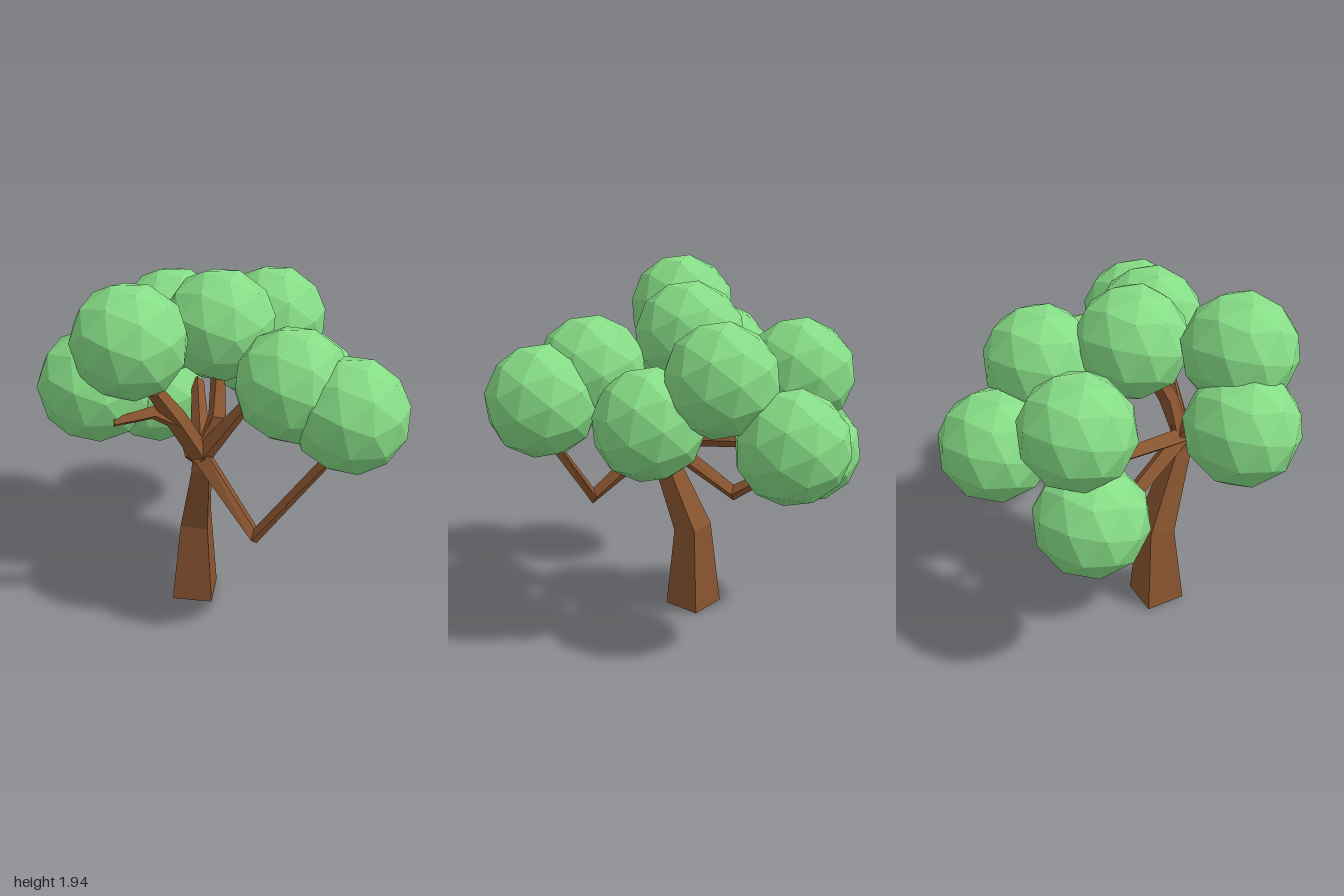
import * as THREE from 'three';

const V = (x, y, z) => new THREE.Vector3(x, y, z);
const bark = new THREE.MeshStandardMaterial({ color: 0x8a5530, flatShading: true });
const leaf = new THREE.MeshStandardMaterial({ color: 0x86dc86, flatShading: true });

// Four-sided limb: each station is [x, y, z, corner radius]
function limb(stations, ref) {
  const pts = stations.map(s => V(s[0], s[1], s[2]));
  const rings = stations.map((s, i) => {
    const t = V(0, 0, 0);
    if (i > 0) t.add(pts[i].clone().sub(pts[i - 1]).normalize());
    if (i < pts.length - 1) t.add(pts[i + 1].clone().sub(pts[i]).normalize());
    t.normalize();
    const u = ref.clone().addScaledVector(t, -ref.dot(t)).normalize();
    const v = t.clone().cross(u);
    return [[u, 1], [v, 1], [u, -1], [v, -1]]
      .map(([d, sign]) => pts[i].clone().addScaledVector(d, sign * s[3]));
  });
  const out = [];
  const quad = (a, b, c, d) => [a, b, c, a, c, d].forEach(p => out.push(p.x, p.y, p.z));
  for (let i = 0; i < rings.length - 1; i++) {
    for (let k = 0; k < 4; k++) {
      const n = (k + 1) % 4;
      quad(rings[i][k], rings[i][n], rings[i + 1][n], rings[i + 1][k]);
    }
  }
  const first = rings[0], last = rings[rings.length - 1];
  quad(first[3], first[2], first[1], first[0]);
  quad(last[0], last[1], last[2], last[3]);
  const geo = new THREE.BufferGeometry();
  geo.setAttribute('position', new THREE.Float32BufferAttribute(out, 3));
  geo.computeVertexNormals();
  return geo;
}

export function createModel() {
  const tree = new THREE.Group();
  tree.name = 'tree';
  const add = (name, geo, mat) => {
    const mesh = new THREE.Mesh(geo, mat);
    mesh.name = name;
    tree.add(mesh);
    return mesh;
  };

  // Leaning trunk, twisted slightly from the axes
  add('trunk', limb([
    [-0.16, 0.005, 0.19, 0.155],
    [-0.15, 0.48, 0.18, 0.105],
    [0.0, 0.92, 0.29, 0.065],
    [0.01, 1.03, 0.31, 0.05],
  ], V(1, 0, 0.2)), bark);

  // Branches fanning out from the fork
  const fork = [0.01, 0.99, 0.3, 0.055];
  const branches = {
    rightLowBranch: [fork, [-0.33, 0.73, 0, 0.045], [-0.5, 0.85, -0.09, 0.03]],
    rightBranch: [fork, [-0.47, 1.08, -0.2, 0.035]],
    leftLowBranch: [fork, [0.39, 0.67, 0.32, 0.045], [0.68, 1.13, 0.15, 0.03]],
    leftBranch: [fork, [0.24, 1.34, 0.19, 0.03]],
    frontBranch: [fork, [-0.03, 1.25, 0.44, 0.055], [-0.06, 1.43, 0.55, 0.04]],
    frontTwig: [[-0.02, 1.22, 0.42, 0.045], [-0.09, 1.3, 0.53, 0.04], [-0.19, 1.28, 0.71, 0.025]],
    middleBranch: [fork, [0.05, 1.2, 0.22, 0.05], [-0.03, 1.42, 0.12, 0.035]],
  };
  for (const [name, path] of Object.entries(branches)) {
    add(name, limb(path, V(0.05, 1, 0.1)), bark);
  }

  // Faceted leaf clumps, all the same size
  const clump = new THREE.IcosahedronGeometry(0.293, 1);
  clump.rotateZ(0.2).rotateX(0.15);
  [
    [-0.71, 0.98, -0.1], [-0.62, 1.43, -0.17], [-0.43, 1.37, 0.6], [-0.2, 1.66, 0.57],
    [-0.085, 1.61, 0.04], [0.43, 1.45, 0.09], [0.71, 1.34, -0.01], [0.22, 1.25, -0.27],
    [-0.42, 1.18, -0.61], [-0.11, 1.49, -0.42],
  ].forEach((p, i) => add('leafClump' + (i + 1), clump, leaf).position.set(...p));

  return tree;
}
